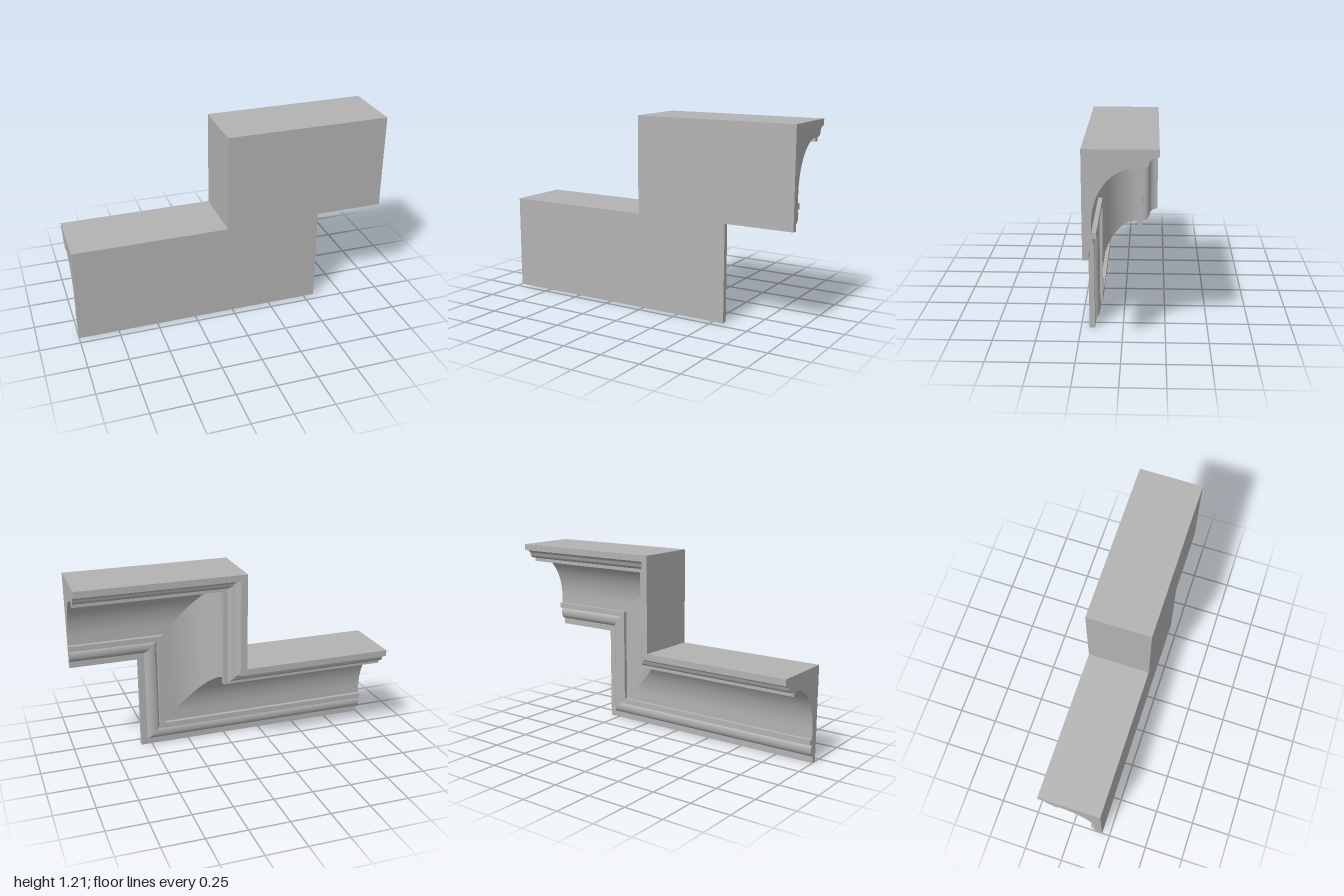
import * as THREE from 'three';
import { toCreasedNormals } from 'three/addons/utils/BufferGeometryUtils.js';

const WIDTH = 0.602; // height of the moulding band

// Cross-section: x is depth (z of the model), y is minus the distance from the top edge
function mouldingProfile() {
  const s = new THREE.Shape();
  s.moveTo(0.2, 0);
  s.lineTo(-0.2, 0);
  s.lineTo(-0.2, -0.04);
  // S-curve under the top lip
  s.quadraticCurveTo(-0.157, -0.042, -0.15, -0.07);
  s.quadraticCurveTo(-0.143, -0.1, -0.107, -0.1);
  // upper fillet
  s.lineTo(-0.107, -0.123);
  s.lineTo(-0.075, -0.123);
  s.lineTo(-0.075, -0.1);
  // large cove
  s.absellipse(-0.075, -0.395, 0.225, 0.295, Math.PI / 2, 0, true, 0);
  s.lineTo(0.15, -0.447);
  // lower fillet
  s.lineTo(0.125, -0.447);
  s.lineTo(0.125, -0.482);
  s.lineTo(0.155, -0.482);
  // bead and bottom edge
  s.quadraticCurveTo(0.14, -0.49, 0.14, -0.515);
  s.quadraticCurveTo(0.14, -0.55, 0.167, -0.562);
  s.lineTo(0.167, -WIDTH);
  s.lineTo(0.2, -WIDTH);
  s.closePath();
  return s;
}

// Straight run whose ends are sheared to the mitre directions
function mitredRun(a, b) {
  const geo = new THREE.ExtrudeGeometry(mouldingProfile(), {
    depth: 1, bevelEnabled: false, curveSegments: 18,
  });
  const p = geo.attributes.position;
  for (let i = 0; i < p.count; i++) {
    const z = p.getX(i), d = -p.getY(i), end = p.getZ(i) < 0.5 ? a : b;
    p.setXYZ(i, end.x + d * end.mx, end.y + d * end.my, z);
  }
  return toCreasedNormals(geo, 0.6);
}

export function createModel() {
  const group = new THREE.Group();
  group.name = 'steppedCornice';
  const plaster = new THREE.MeshStandardMaterial({ color: 0xb3b3b3 });
  plaster.name = 'grey plaster';

  // Top edge of the step, with the mitre direction at each corner
  const path = [
    { x: 1, y: 1.21, mx: 0, my: -1 },
    { x: -0.033, y: 1.21, mx: 1, my: -1 },
    { x: -0.033, y: WIDTH, mx: 1, my: -1 },
    { x: -1, y: WIDTH, mx: 0, my: -1 },
  ];
  ['upperRun', 'verticalRun', 'lowerRun'].forEach((name, i) => {
    const mesh = new THREE.Mesh(mitredRun(path[i], path[i + 1]), plaster);
    mesh.name = name;
    group.add(mesh);
  });
  return group;
}
